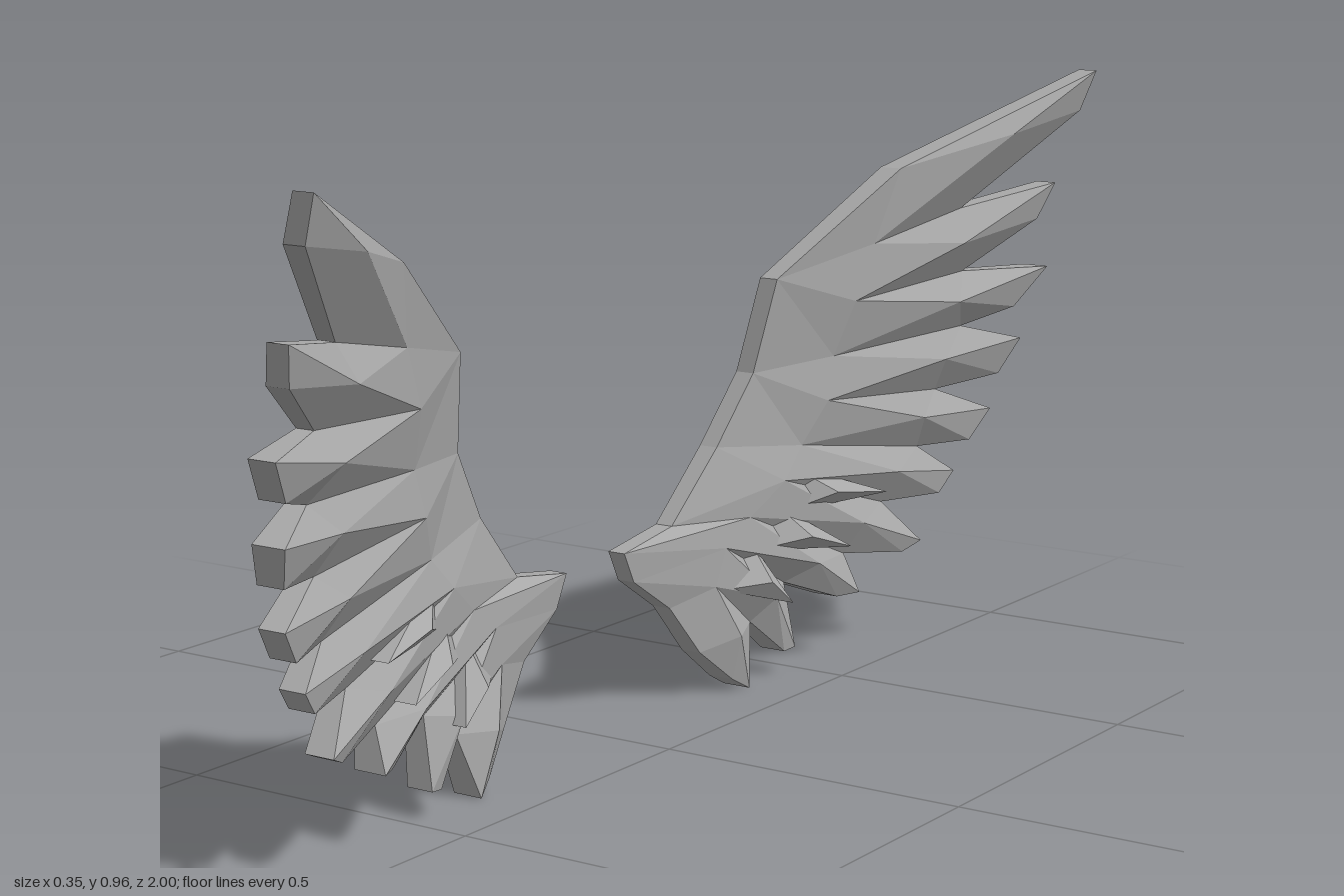
import * as THREE from 'three';

// Every wing point is [z, y, thickness]; the wing plate bends along a shallow bowl.
const bowl = (z, y) => -0.165 + 0.238 * ((z - 0.1) ** 2 + (y - 0.25) ** 2);

// feathers from the top down: tip, lower tip corner, notch below
const feathers = [
  [[1, 0.96, 0.033], [0.99, 0.893, 0.035], [0.8, 0.74, 0.03]],
  [[0.98, 0.77, 0.035], [0.957, 0.71, 0.038], [0.83, 0.63, 0.03]],
  [[0.99, 0.625, 0.045], [0.935, 0.56, 0.045], [0.84, 0.535, 0.035]],
  [[0.947, 0.505, 0.055], [0.92, 0.445, 0.045], [0.8, 0.43, 0.035]],
  [[0.91, 0.385, 0.045], [0.87, 0.335, 0.045], [0.77, 0.335, 0.035]],
  [[0.84, 0.285, 0.045], [0.81, 0.25, 0.045], [0.695, 0.25, 0.035]],
  [[0.765, 0.175, 0.05], [0.73, 0.16, 0.045], [0.61, 0.175, 0.035]],
  [[0.62, 0.11, 0.055], [0.58, 0.108, 0.045], [0.47, 0.15, 0.035]],
  [[0.476, 0.043, 0.045], [0.45, 0.04, 0.045], [0.385, 0.1, 0.035]],
  [[0.353, 0, 0.05], [0.32, 0.02, 0.045], [0.257, 0.075, 0.035]],
];
// leading edge from the upper bend, around the root, to the lowest feather
const edge = [
  [0.636, 0.82, 0.038], [0.406, 0.66, 0.032], [0.406, 0.66, 0.032], [0.38, 0.51, 0.032],
  [0.38, 0.51, 0.032], [0.305, 0.4, 0.032], [0.2, 0.29, 0.03], [0.075, 0.27, 0.03],
  [0.1, 0.22, 0.03], [0.19, 0.16, 0.032], [0.257, 0.075, 0.035],
];
// feather roots, between the leading edge and the notches
const roots = [
  edge[0], [0.6, 0.7, 0.05], [0.56, 0.61, 0.066], [0.54, 0.52, 0.055], [0.52, 0.45, 0.07],
  [0.48, 0.38, 0.058], [0.43, 0.33, 0.07], [0.36, 0.28, 0.06], [0.3, 0.24, 0.06],
  [0.28, 0.18, 0.055], edge[10],
];
// small overlapping feathers: tip, upper base, lower base
const coverts = [
  [[0.65, 0.28], [0.46, 0.35], [0.44, 0.27]],
  [[0.57, 0.2], [0.43, 0.29], [0.38, 0.22]],
  [[0.43, 0.13], [0.37, 0.24], [0.3, 0.17]],
];

const mix = (a, b, t) => a.map((v, i) => v + (b[i] - v) * t);

// collects triangles for one side; mirroring reverses their corner order
function builder(side) {
  const pos = [];
  const at = (p, front) => [bowl(p[0], p[1]) + (front ? p[2] : 0), p[1], p[0] * side];
  const tri = (a, b, c) => pos.push(...a, ...(side > 0 ? b : c), ...(side > 0 ? c : b));
  const area = (a, b, c) => (b[1] - a[1]) * (c[0] - a[0]) - (b[0] - a[0]) * (c[1] - a[1]);
  return {
    // a triangle of the outer or the inner skin
    skin(a, b, c, front) {
      const s = area(a, b, c);
      if (Math.abs(s) < 1e-7) return;
      if ((s > 0) === front) tri(at(a, front), at(b, front), at(c, front));
      else tri(at(a, front), at(c, front), at(b, front));
    },
    // rim between the skins
    wall(a, b) {
      if (a[0] === b[0] && a[1] === b[1]) return;
      tri(at(a, false), at(b, false), at(b, true));
      tri(at(a, false), at(b, true), at(a, true));
    },
    mesh(name, material) {
      const g = new THREE.BufferGeometry();
      g.setAttribute('position', new THREE.Float32BufferAttribute(pos, 3));
      g.computeVertexNormals();
      const m = new THREE.Mesh(g, material);
      m.name = name;
      return m;
    },
  };
}

function makeWing(side, material) {
  const wing = new THREE.Group();
  wing.name = side > 0 ? 'frontWing' : 'backWing';

  // long feathers, each with a raised ridge point
  const f = builder(side);
  feathers.forEach(([tip, corner, below], i) => {
    const above = i ? feathers[i - 1][2] : edge[0];
    const r0 = roots[i], r1 = roots[i + 1];
    let ridge = mix(mix(above, below, 0.45), mix(r0, r1, 0.5), 0.15);
    ridge[2] = 0.07;
    if (i === 0) ridge = [0.83, 0.865, 0.068];
    for (const front of [true, false]) {
      f.skin(above, tip, ridge, front);
      f.skin(tip, corner, ridge, front);
      f.skin(corner, below, ridge, front);
      f.skin(above, ridge, r0, front);
      f.skin(ridge, below, r1, front);
      f.skin(ridge, r1, r0, front);
    }
    f.wall(above, tip);
    f.wall(tip, corner);
    f.wall(corner, below);
  });
  wing.add(f.mesh('longFeathers', material));

  // arm between the feather roots and the leading edge
  const arm = builder(side);
  for (let i = 0; i < 10; i++) {
    for (const front of [true, false]) {
      arm.skin(edge[i], roots[i], roots[i + 1], front);
      arm.skin(edge[i], roots[i + 1], edge[i + 1], front);
    }
    arm.wall(edge[i + 1], edge[i]);
  }
  wing.add(arm.mesh('wingArm', material));

  // short overlapping feathers with a raised spine and a step down to the skin
  const c = builder(side);
  for (const [t, u, l] of coverts) {
    const tip = [...t, 0.085], up = [...u, 0.05], low = [...l, 0.05];
    const spine = [...mix(mix(u, l, 0.5), t, 0.4), 0.092];
    c.skin(up, tip, spine, true);
    c.skin(tip, low, spine, true);
    c.skin(low, up, spine, true);
    c.wall(up, tip);
    c.wall(tip, low);
  }
  wing.add(c.mesh('shortFeathers', material));
  return wing;
}

export function createModel() {
  const model = new THREE.Group();
  model.name = 'wings';
  const grey = new THREE.MeshStandardMaterial({ color: 0xa8a8a8, flatShading: true });
  grey.name = 'featherGrey';
  model.add(makeWing(1, grey), makeWing(-1, grey));
  return model;
}
